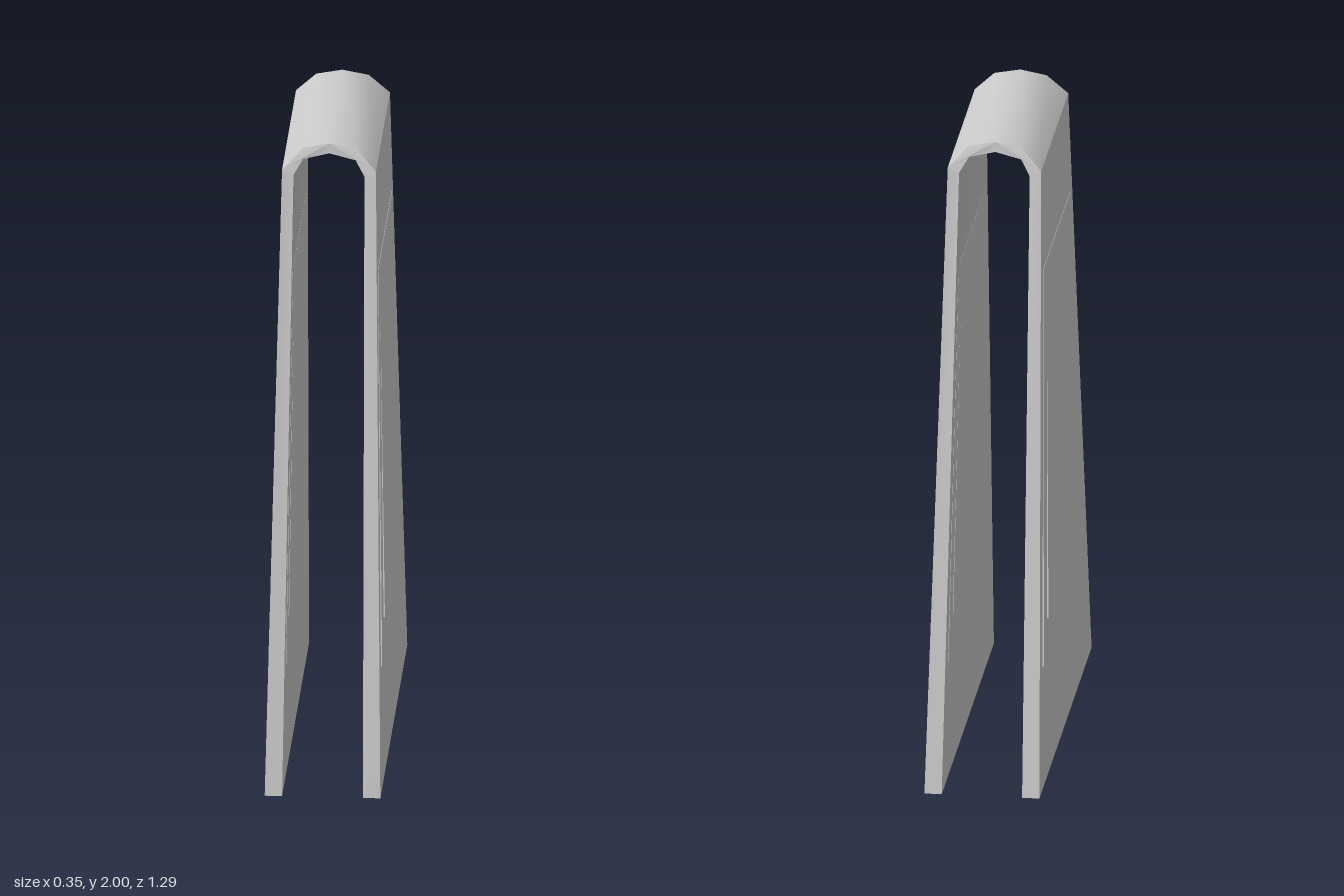
import * as THREE from 'three';
import { toCreasedNormals } from 'three/addons/utils/BufferGeometryUtils.js';

const lerp = THREE.MathUtils.lerp;
const material = new THREE.MeshStandardMaterial({ color: 0xcccccc });

// Wall faces and half depth of the folded sheet at height y
const outerX = (y) => lerp(0.176, 0.143, y / 1.92);
const innerX = (y) => lerp(0.123, 0.108, y / 1.905);
const halfDepth = (y) =>
  y <= 1.92 ? lerp(0.645, 0.335, y / 1.92) : lerp(0.335, 0.31, Math.min(1, (y - 1.92) / 0.065));

// Inverted U section, extruded and tapered in depth
function foldedSheet() {
  const outer = [[0.176, 0], [0.143, 1.92], [0.08, 1.985], [0, 2]];
  const inner = [[0.123, 0], [0.108, 1.905], [0.08, 1.952], [0, 1.97]];
  const across = (half) => [...half, ...half.slice(0, -1).reverse().map(([x, y]) => [-x, y])];
  const outline = [...across(outer), ...across(inner).reverse()];
  const shape = new THREE.Shape(outline.map(([x, y]) => new THREE.Vector2(x, y)));
  const geometry = new THREE.ExtrudeGeometry(shape, { depth: 2, bevelEnabled: false, curveSegments: 1 });
  geometry.translate(0, 0, -1);
  const p = geometry.attributes.position;
  for (let i = 0; i < p.count; i++) p.setZ(i, p.getZ(i) * halfDepth(p.getY(i)));
  return toCreasedNormals(geometry, 0.7);
}

// Thin trapezoid plate running through one wall, proudest at its lower edge
function wallPlate(y0, y1, z0, z1, proud, side) {
  const geometry = new THREE.BoxGeometry(1, 1, 1).toNonIndexed();
  const p = geometry.attributes.position;
  for (let i = 0; i < p.count; i++) {
    const t = p.getY(i) + 0.5;
    const y = lerp(y0, y1, t);
    const lift = lerp(proud, 0.001, t);
    const isOuter = p.getX(i) * side > 0;
    const x = isOuter ? outerX(y) + lift : innerX(y) - lift * 0.35;
    p.setXYZ(i, side * x, y, Math.sign(p.getZ(i)) * lerp(z0, z1, t));
  }
  geometry.computeVertexNormals();
  return geometry;
}

export function createModel() {
  const model = new THREE.Group();
  const add = (name, geometry) => {
    const mesh = new THREE.Mesh(geometry, material);
    mesh.name = name;
    model.add(mesh);
  };

  add('foldedSheet', foldedSheet());

  // Nested plates on both walls
  for (const [label, side] of [['left', 1], ['right', -1]]) {
    add(label + 'OuterPlate', wallPlate(0.38, 1.6, 0.515, 0.33, 0.004, side));
    add(label + 'InnerPlate', wallPlate(0.5, 1.48, 0.415, 0.265, 0.008, side));
  }
  return model;
}
